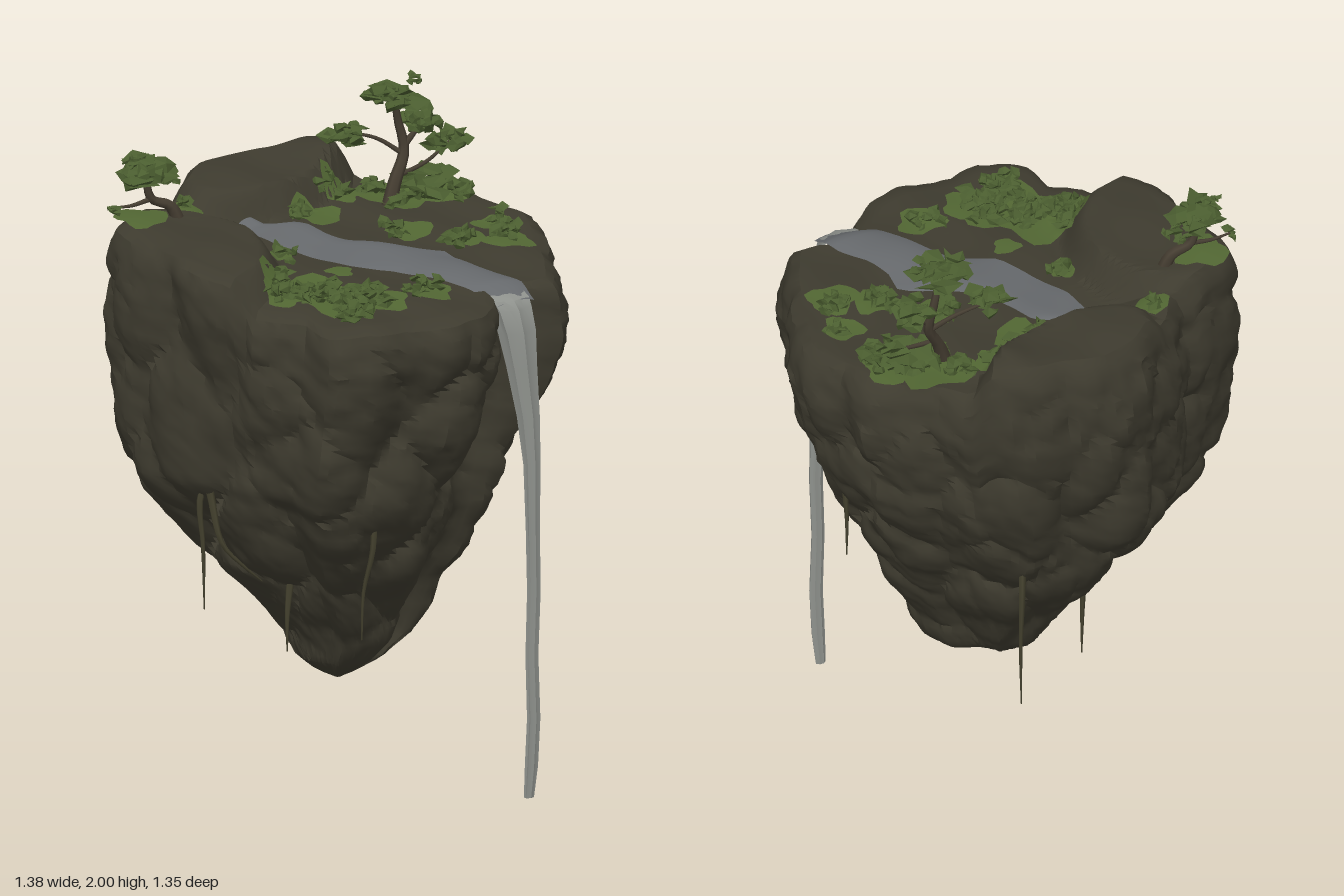
import * as THREE from 'three';
import { mergeGeometries, toCreasedNormals } from 'three/addons/utils/BufferGeometryUtils.js';

const material = (name, color, extra = {}) => {
  const m = new THREE.MeshStandardMaterial({ color, ...extra });
  m.name = name;
  return m;
};
let seed = 7;
const rnd = () => {
  seed = (seed * 16807) % 2147483647;
  return seed / 2147483647;
};
const smooth = THREE.MathUtils.smoothstep;
const hash = (x, y, z) => {
  const s = Math.sin(x * 127.1 + y * 311.7 + z * 74.7) * 43758.5453;
  return s - Math.floor(s) - 0.5;
};

// Interpolate rows whose first entry is the key (ascending)
function sample(rows, k) {
  let i = 0;
  while (i < rows.length - 2 && rows[i + 1][0] < k) i++;
  const a = rows[i], b = rows[i + 1];
  const t = THREE.MathUtils.clamp((k - a[0]) / (b[0] - a[0]), 0, 1);
  return a.map((v, n) => v + (b[n] - v) * t);
}

// Skin a list of rings of [x, y, z] points
function loft(rings, closed = true) {
  const n = rings[0].length, idx = [];
  for (let i = 0; i < rings.length - 1; i++) {
    for (let j = 0; j < (closed ? n : n - 1); j++) {
      const a = i * n + j, b = i * n + (j + 1) % n;
      idx.push(a, b, a + n, b, b + n, a + n);
    }
  }
  const g = new THREE.BufferGeometry();
  g.setAttribute('position', new THREE.Float32BufferAttribute(rings.flat(2), 3));
  g.setIndex(idx);
  g.computeVertexNormals();
  return g;
}

// Plan outline of the island, turned into radius by angle
const OUTLINE = [[0, 0.67], [0.1, 0.64], [0.19, 0.57], [0.25, 0.46], [0.31, 0.46], [0.37, 0.51], [0.46, 0.51],
  [0.51, 0.42], [0.58, 0.26], [0.65, 0.08], [0.69, -0.04], [0.63, -0.2], [0.61, -0.31], [0.54, -0.38],
  [0.43, -0.46], [0.34, -0.57], [0.26, -0.66], [0.1, -0.66], [-0.05, -0.685], [-0.18, -0.65], [-0.26, -0.57],
  [-0.37, -0.51], [-0.43, -0.4], [-0.59, -0.36], [-0.67, -0.28], [-0.68, -0.05], [-0.63, 0.18], [-0.53, 0.35],
  [-0.42, 0.45], [-0.41, 0.6], [-0.28, 0.66], [-0.16, 0.64]];
const turn = (x, z) => (Math.atan2(x, z) + Math.PI * 2) % (Math.PI * 2);
const RADII = OUTLINE.map(([x, z]) => [turn(x, z), Math.hypot(x, z)]);
RADII.push([Math.PI * 2, 0.67]);
const radius = (a) => sample(RADII, a)[1];

// Side profile: height, scale, centre x, centre z
const PROFILE = [[0.28, 0.01, -0.04, 0.02], [0.31, 0.1, -0.04, 0.02], [0.36, 0.21, -0.03, 0.02], [0.43, 0.33, 0.01, 0],
  [0.5, 0.4, 0.01, 0], [0.6, 0.48, -0.01, 0], [0.7, 0.6, -0.03, 0], [0.8, 0.69, -0.04, 0], [0.9, 0.79, -0.05, 0],
  [1, 0.87, -0.06, 0], [1.2, 0.95, -0.025, 0], [1.38, 0.99, -0.01, 0], [1.5, 1, 0, 0.01], [1.58, 0.98, 0, 0.012],
  [1.62, 0.95, 0, 0.012]];

// Ground height: sloping meadow with a back mound, a side plateau and a saddle between them
function ground(x, z) {
  const dz = z + 0.52 + 0.25 * x;
  const back = ((x - 0.02) / 0.34) ** 2 + (dz / (dz < 0 ? 0.5 : 0.2)) ** 2;
  const side = ((x + 0.58) / 0.33) ** 2 + ((z + 0.06) / 0.36) ** 2;
  const saddle = Math.hypot(x + 0.38, z + 0.42) / 0.22;
  const knob = Math.exp(-(((x - 0.22) / 0.07) ** 2) - ((z + 0.52) / 0.12) ** 2);
  const lift = Math.max((0.1 + 0.035 * knob) * (1 - smooth(back, 0.6, 1.15)), 0.1 * (1 - smooth(side, 0.68, 1.15)),
    0.05 * (1 - smooth(saddle, 0.3, 1)));
  const ripple = 0.008 * Math.sin(x * 17 + z * 5) * Math.cos(z * 14 - x * 6);
  return 1.6 - 0.042 * z + lift + ripple;
}

// Boulder-like bulges from scattered cell centres
function cells(count) {
  return Array.from({ length: count }, () => {
    const y = 0.32 + 1.35 * Math.sqrt(rnd()), a = rnd() * Math.PI * 2;
    const [, s, cx, cz] = sample(PROFILE, y), r = radius(a) * s;
    return [cx + r * Math.sin(a), y, cz + r * Math.cos(a)];
  });
}
function bulge(list, size, x, y, z) {
  let d1 = 9, d2 = 9;
  for (const c of list) {
    const d = Math.hypot(x - c[0], (y - c[1]) * 0.65, z - c[2]);
    if (d < d1) { d2 = d1; d1 = d; } else if (d < d2) d2 = d;
  }
  return Math.min(1.4, (d1 / size) ** 2) + 0.5 * Math.exp(-(d2 - d1) / (size * 0.2));
}

function rockGeometry() {
  const SEG = 144, SIDE = 66, TOP = 28, rings = [];
  const big = cells(85), small = cells(300);
  for (let i = 0; i <= SIDE + TOP; i++) {
    const ring = [];
    for (let j = 0; j < SEG; j++) {
      const a = j / SEG * Math.PI * 2, sx = Math.sin(a), sz = Math.cos(a), R = radius(a);
      if (i <= SIDE) {
        const k = 0.28 + 1.34 * i / SIDE, [, s, cx, cz] = sample(PROFILE, k);
        const rim = ground(R * sx * 0.9, R * sz * 0.9) - 0.018;
        const y = k + (rim - 1.62) * smooth(k, 0.9, 1.62);
        let x = cx + R * s * sx, z = cz + R * s * sz;
        const d = (0.036 * bulge(big, 0.16, x, k, z) + 0.012 * bulge(small, 0.08, x, k, z) - 0.012)
          * Math.min(1, s * 1.5) * (1 - 0.6 * smooth(k, 1.5, 1.62)) + 0.005 * hash(x, k, z);
        x -= d * sx;
        z -= d * sz;
        ring.push([x, y, z]);
      } else {
        const u = 0.9 * (1 - (i - SIDE - 1) / (TOP - 1));
        const x = R * u * sx, z = R * u * sz;
        ring.push([x, ground(x, z), z]);
      }
    }
    rings.push(ring);
  }
  return toCreasedNormals(loft(rings), 0.6);
}

// Grass lying on the ground, following its slope
function patchGeometry(x, z, r) {
  const rings = [1, 0.66, 0.33, 0].map((u) => Array.from({ length: 18 }, (_, j) => {
    const a = j / 18 * Math.PI * 2, q = r * u * (1 + 0.16 * Math.sin(a * 3 + x * 40) + 0.1 * Math.sin(a * 5 + z * 30));
    const px = x + q * Math.sin(a), pz = z + q * Math.cos(a);
    return [px, ground(px, pz) + 0.007, pz];
  }));
  return loft(rings);
}

// Jagged leaf cluster
function clumpGeometry(x, y, z, w, h, count) {
  const parts = [];
  for (let i = 0; i < count; i++) {
    const g = new THREE.IcosahedronGeometry(1, 0), p = g.attributes.position;
    const size = w * (0.15 + 0.13 * rnd()), a = rnd() * 6.28, d = w * 0.38 * Math.sqrt(rnd()), k = rnd() * 9;
    for (let v = 0; v < p.count; v++) {
      const X = Math.round(p.getX(v) * 100), Y = Math.round(p.getY(v) * 100), Z = Math.round(p.getZ(v) * 100);
      const f = 0.95 + 1.5 * hash(X + k, Y, Z);
      p.setXYZ(v, X * f / 100, Y * f / 100, Z * f / 100);
    }
    g.scale(size, h * 0.26, size);
    g.rotateX((rnd() - 0.5) * 0.7);
    g.translate(x + d * Math.sin(a), y + (rnd() - 0.5) * h * 0.7, z + d * Math.cos(a));
    parts.push(g);
  }
  return mergeGeometries(parts);
}

// Tapering limb along a smooth path
function limbGeometry(points, r0, r1, sides = 6) {
  const curve = new THREE.CatmullRomCurve3(points.map((p) => new THREE.Vector3(...p)));
  const N = 12, g = new THREE.TubeGeometry(curve, N, 1, sides), p = g.attributes.position;
  for (let v = 0; v < p.count; v++) {
    const t = Math.floor(v / (sides + 1)) / N, c = curve.getPointAt(t), r = r0 + (r1 - r0) * t;
    p.setXYZ(v, c.x + (p.getX(v) - c.x) * r, c.y + (p.getY(v) - c.y) * r, c.z + (p.getZ(v) - c.z) * r);
  }
  return g;
}

export function createModel() {
  const root = new THREE.Group();
  const rock = material('rock', 0x3e3b2f);
  const streamWater = material('streamWater', 0x66696c, { side: THREE.DoubleSide });
  const fallWater = material('fallWater', 0x8e918c);
  const grass = material('grass', 0x526733);
  const leaves = material('leaves', 0x4b5e30, { flatShading: true });
  const bark = material('bark', 0x463e32);
  const vine = material('vine', 0x45422f);
  const add = (name, geometry, mat) => {
    const m = new THREE.Mesh(geometry, mat);
    m.name = name;
    root.add(m);
  };

  add('floatingRock', rockGeometry(), rock);

  // Stream across the meadow: z, left x, right x; it bends down over the lip
  const stream = [[-0.31, -0.19, -0.14], [-0.26, -0.185, -0.08], [-0.23, -0.18, -0.01], [-0.13, -0.17, 0.01], [-0.05, -0.14, 0.04],
    [0.04, -0.11, 0.14], [0.13, -0.07, 0.26], [0.21, 0.04, 0.25], [0.3, 0.09, 0.27], [0.4, 0.14, 0.32],
    [0.46, 0.17, 0.335], [0.53, 0.195, 0.335]];
  const rows = [];
  for (let i = 0; i <= 34; i++) {
    const [z, l, r] = sample(stream, -0.31 + 0.84 * i / 34);
    rows.push(Array.from({ length: 9 }, (_, j) => {
      const x = r + (l - r) * j / 8, bank = Math.abs(j - 4) / 4;
      return [x, ground(x, z) + 0.013 - 0.008 * bank ** 3 - 0.045 * smooth(z, 0.44, 0.54), z];
    }));
  }
  add('stream', loft(rows, false), streamWater);

  // Waterfall: y, centre x, centre z, half width, half depth
  const fall = [[0, 0.303, 0.553, 0.016, 0.013], [0.1, 0.308, 0.56, 0.02, 0.015], [0.25, 0.312, 0.567, 0.021, 0.014],
    [0.45, 0.304, 0.57, 0.02, 0.013], [0.65, 0.31, 0.57, 0.021, 0.014], [0.85, 0.303, 0.575, 0.023, 0.016],
    [1.05, 0.302, 0.572, 0.027, 0.02], [1.2, 0.295, 0.562, 0.035, 0.028], [1.35, 0.283, 0.545, 0.048, 0.035],
    [1.46, 0.274, 0.53, 0.06, 0.042], [1.53, 0.266, 0.51, 0.068, 0.046], [1.555, 0.262, 0.49, 0.075, 0.046],
    [1.567, 0.258, 0.47, 0.075, 0.03]];
  const fallRings = fall.map(([y, cx, cz, w, d], i) => Array.from({ length: 14 }, (_, j) => {
    const a = j / 14 * Math.PI * 2, f = (j % 2 ? 0.84 : 1.04) + 0.12 * hash(i, j, 3);
    return [cx + w * Math.sin(a) * f, y, cz + d * Math.cos(a) * f];
  }));
  fallRings.unshift(fallRings[0].map(() => [0.303, 0, 0.553]));
  add('waterfall', toCreasedNormals(loft(fallRings), 0.6), fallWater);

  // Grass patches: x, z, radius, number of tufts
  const patches = [[-0.33, -0.38, 0.05, 1], [-0.55, -0.26, 0.08, 0], [0.06, -0.27, 0.075, 2], [0.2, -0.37, 0.055, 2],
    [0.36, -0.32, 0.11, 5], [0.48, -0.26, 0.08, 4], [0.24, -0.04, 0.07, 2], [0.5, 0.01, 0.06, 1], [0.36, 0.09, 0.06, 3],
    [0.46, 0.16, 0.075, 3], [-0.21, -0.03, 0.035, 1], [-0.12, 0.17, 0.04, 0], [-0.29, 0.25, 0.12, 9],
    [-0.22, 0.36, 0.13, 9], [-0.12, 0.43, 0.075, 3], [0.04, 0.42, 0.07, 2], [-0.25, 0.47, 0.05, 4], [-0.38, 0.29, 0.06, 4]];
  add('grassPatches', mergeGeometries(patches.map(([x, z, r]) => patchGeometry(x, z, r))), grass);
  const tufts = [];
  for (const [x, z, r, n] of patches) {
    for (let i = 0; i < n; i++) {
      const a = rnd() * 6.28, d = r * 0.8 * Math.sqrt(rnd()), px = x + d * Math.sin(a), pz = z + d * Math.cos(a);
      tufts.push(clumpGeometry(px, ground(px, pz) + 0.02, pz, 0.09, 0.055, 6));
    }
  }
  add('grassTufts', mergeGeometries(tufts), leaves);

  // Trees
  add('treeTrunks', mergeGeometries([
    limbGeometry([[0.3, 1.58, -0.27], [0.33, 1.67, -0.28], [0.375, 1.76, -0.3], [0.36, 1.85, -0.31], [0.34, 1.93, -0.3]], 0.024, 0.009),
    limbGeometry([[0.37, 1.75, -0.3], [0.3, 1.8, -0.33], [0.21, 1.83, -0.35]], 0.009, 0.004),
    limbGeometry([[0.37, 1.77, -0.3], [0.41, 1.81, -0.3], [0.43, 1.83, -0.3]], 0.012, 0.006),
    limbGeometry([[0.34, 1.69, -0.28], [0.45, 1.71, -0.3], [0.55, 1.75, -0.33]], 0.009, 0.004),
    limbGeometry([[-0.42, 1.67, -0.25], [-0.45, 1.74, -0.26], [-0.51, 1.77, -0.27], [-0.53, 1.85, -0.27]], 0.022, 0.009),
    limbGeometry([[-0.51, 1.77, -0.27], [-0.58, 1.76, -0.27], [-0.64, 1.765, -0.27]], 0.008, 0.003),
  ]), bark);
  add('treeLeaves', mergeGeometries([[0.33, 1.945, -0.3, 0.17, 0.06, 18], [0.4, 1.98, -0.29, 0.07, 0.03, 5],
    [0.2, 1.83, -0.34, 0.13, 0.06, 13], [0.43, 1.84, -0.3, 0.13, 0.08, 15], [0.55, 1.755, -0.33, 0.13, 0.06, 15],
    [0.43, 1.66, -0.28, 0.18, 0.06, 14], [-0.54, 1.86, -0.27, 0.16, 0.07, 18], [-0.47, 1.83, -0.27, 0.1, 0.04, 8],
    [-0.58, 1.9, -0.26, 0.07, 0.03, 5], [-0.64, 1.767, -0.27, 0.07, 0.03, 5]].map((c) => clumpGeometry(...c))), leaves);

  // Hanging roots
  add('hangingRoots', mergeGeometries([
    [[-0.52, 1.05, 0.1], [-0.56, 0.95, 0.1], [-0.55, 0.8, 0.1], [-0.545, 0.6, 0.1]],
    [[-0.55, 0.98, 0.14], [-0.52, 0.82, 0.16], [-0.45, 0.74, 0.16], [-0.37, 0.67, 0.14]],
    [[0.54, 1.2, -0.08], [0.55, 1.1, -0.1], [0.545, 1, -0.1], [0.545, 0.87, -0.1]],
    [[0.15, 1, -0.47], [0.16, 0.85, -0.49], [0.16, 0.65, -0.48], [0.16, 0.45, -0.485]],
    [[-0.1, 0.8, -0.38], [-0.1, 0.66, -0.37], [-0.1, 0.48, -0.365]],
    [[-0.2, 1, 0.5], [-0.2, 0.85, 0.5], [-0.21, 0.7, 0.46], [-0.21, 0.55, 0.45]],
    [[-0.28, 0.66, 0.15], [-0.29, 0.55, 0.15], [-0.29, 0.44, 0.15]],
  ].map((p) => limbGeometry(p, 0.013, 0.002, 5))), vine);
  return root;
}
